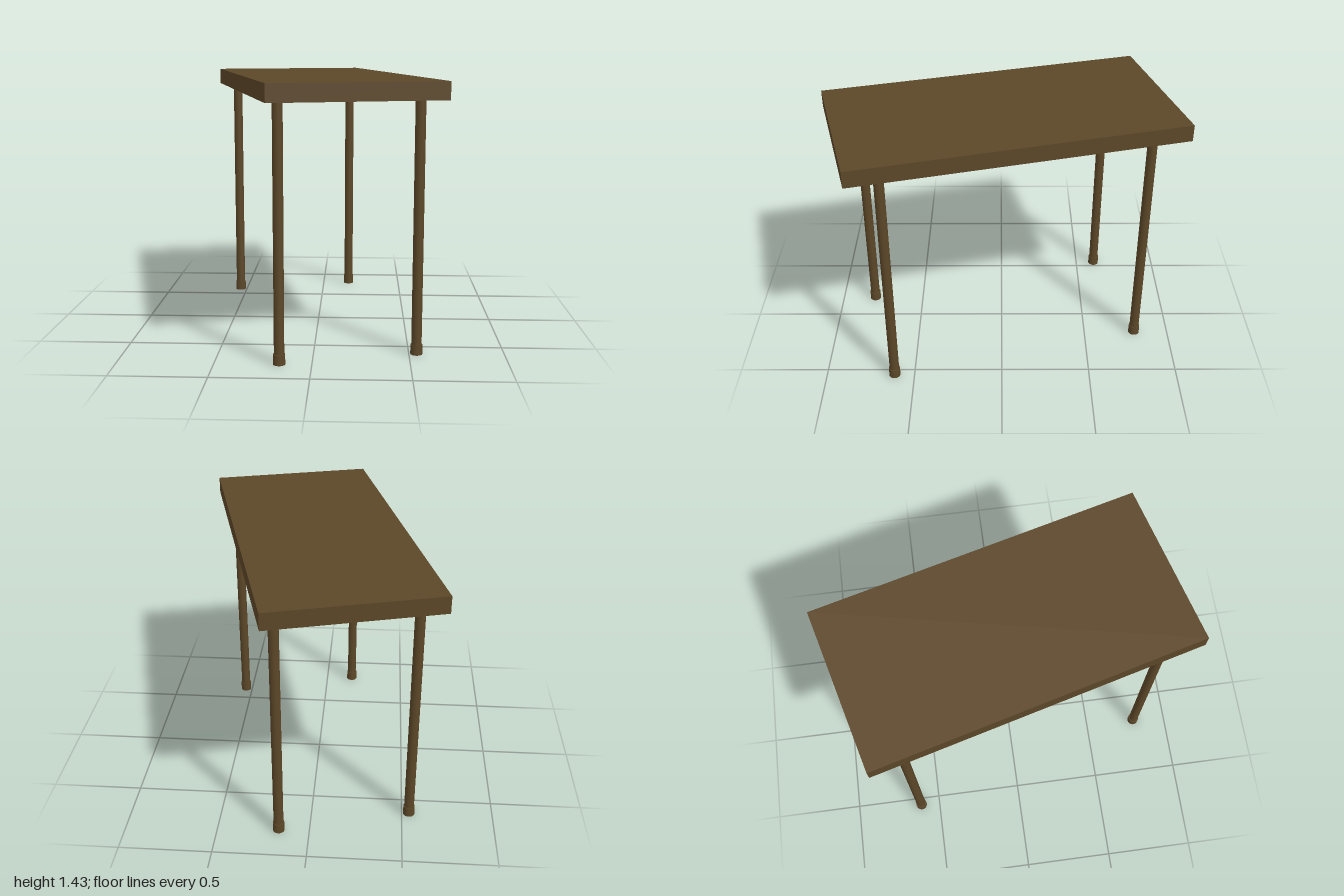
import * as THREE from 'three';

export function createModel() {
  const model = new THREE.Group();
  const wood = new THREE.MeshStandardMaterial({ color: 0x5c4728 });

  // The whole table stands turned on the ground
  const table = new THREE.Group();
  table.name = 'table';
  table.rotation.y = THREE.MathUtils.degToRad(14.8);
  model.add(table);

  const add = (name, geometry, x, y, z) => {
    const mesh = new THREE.Mesh(geometry, wood);
    mesh.name = name;
    mesh.position.set(x, y, z);
    table.add(mesh);
  };

  // Table top
  const height = 1.43, thickness = 0.092, underside = height - thickness;
  add('tableTop', new THREE.BoxGeometry(0.909, thickness, 1.829), 0, height - thickness / 2, 0);

  // Four round legs, each in a slightly wider foot
  const footHeight = 0.054;
  const legLength = underside - footHeight;
  const leg = new THREE.CylinderGeometry(0.027, 0.027, legLength, 16);
  const foot = new THREE.CylinderGeometry(0.031, 0.032, footHeight, 16);
  for (const [end, z] of [['front', 0.73], ['back', -0.73]]) {
    for (const [side, x] of [['Left', 0.365], ['Right', -0.365]]) {
      add(`${end}${side}Leg`, leg, x, footHeight + legLength / 2, z);
      add(`${end}${side}Foot`, foot, x, footHeight / 2, z);
    }
  }

  return model;
}
